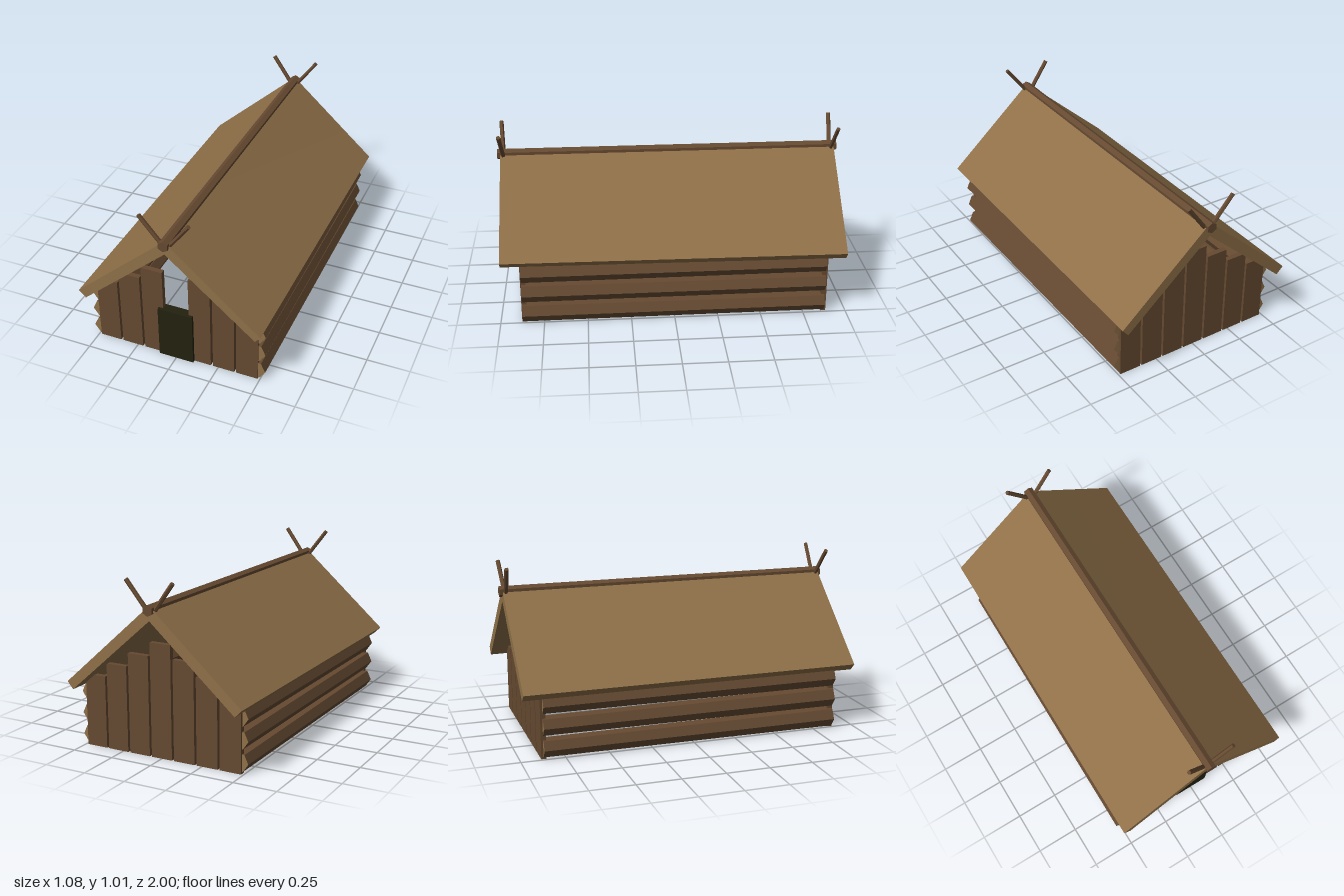
import * as THREE from 'three';

const thatch = new THREE.MeshStandardMaterial({ color: 0x8f7048 });
const wood = new THREE.MeshStandardMaterial({ color: 0x664a31 });
const doorDark = new THREE.MeshStandardMaterial({ color: 0x23220f });
thatch.name = 'pale wood';
wood.name = 'brown wood';
doorDark.name = 'door';

function add(parent, name, geometry, material) {
  const mesh = new THREE.Mesh(geometry, material);
  mesh.name = name;
  parent.add(mesh);
  return mesh;
}

// Six-sided pole with crisp facets
function pole(rTop, rBottom, length) {
  const g = new THREE.CylinderGeometry(rTop, rBottom, length, 6).toNonIndexed();
  g.computeVertexNormals();
  return g;
}

// Roof slab: a box whose corners move to the peak and the eave
function slab(side, front, back) {
  const g = new THREE.BoxGeometry(2, 2, 2);
  const p = g.attributes.position;
  for (let i = 0; i < p.count; i++) {
    const eave = p.getX(i) * side > 0;
    const top = p.getY(i) > 0;
    const z = p.getZ(i) * 0.983;
    const [x, y] = eave ? (z > 0 ? front : back)[top ? 0 : 1] : [0, top ? 0.871 : 0.79];
    p.setXYZ(i, side * x, y, z);
  }
  g.computeVertexNormals();
  return g;
}

export function createModel() {
  const model = new THREE.Group();
  model.name = 'logHut';

  // Gable walls of stepped planks; the front leaves a gap over the door
  for (const [name, z] of [['frontWall', 0.863], ['backWall', -0.87]]) {
    const wall = new THREE.Group();
    wall.name = name;
    for (let i = -3; i <= 3; i++) {
      if (z > 0 && i === 0) continue;
      const h = 0.646 - 0.077 * Math.abs(i);
      add(wall, 'plank', new THREE.BoxGeometry(0.128, h, 0.03), wood)
        .position.set(i * 0.141, h / 2, z);
    }
    model.add(wall);
  }
  add(model, 'door', new THREE.BoxGeometry(0.208, 0.325, 0.056), doorDark)
    .position.set(0, 0.1625, 0.868);

  for (const side of [1, -1]) {
    // Side walls: tapered logs with pale cut ends
    const wall = new THREE.Group();
    wall.name = side > 0 ? 'leftLogWall' : 'rightLogWall';
    for (let i = 0; i < 3; i++) {
      const g = pole(0.061, 0.055, 1.745);
      g.rotateX(Math.PI / 2);
      g.rotateZ(side * THREE.MathUtils.degToRad(25));
      add(wall, 'log', g, [wood, thatch, thatch])
        .position.set(side * 0.468, 0.061 + i * 0.1245, 0);
    }
    model.add(wall);

    // Crossed finial poles at both ends of the ridge
    for (const end of [1, -1]) {
      const a = new THREE.Vector3(side * 0.02, 0.838, end * 0.965);
      const b = new THREE.Vector3(side * 0.142, 1.0, end * 0.977);
      const finial = add(model, 'finial', pole(0.0125, 0.0125, a.distanceTo(b)), wood);
      finial.position.lerpVectors(a, b, 0.5);
      finial.quaternion.setFromUnitVectors(new THREE.Vector3(0, 1, 0), b.clone().sub(a).normalize());
    }
  }

  // Roof slabs, one sagging slightly towards the back
  add(model, 'leftRoof', slab(1, [[0.54, 0.4], [0.508, 0.365]], [[0.54, 0.39], [0.505, 0.348]]), thatch);
  add(model, 'rightRoof', slab(-1, [[0.543, 0.387], [0.502, 0.346]], [[0.543, 0.387], [0.502, 0.346]]), thatch);

  // Ridge beam
  const ridge = pole(0.031, 0.031, 2);
  ridge.rotateX(Math.PI / 2);
  add(model, 'ridgeBeam', ridge, wood).position.y = 0.848;

  return model;
}
